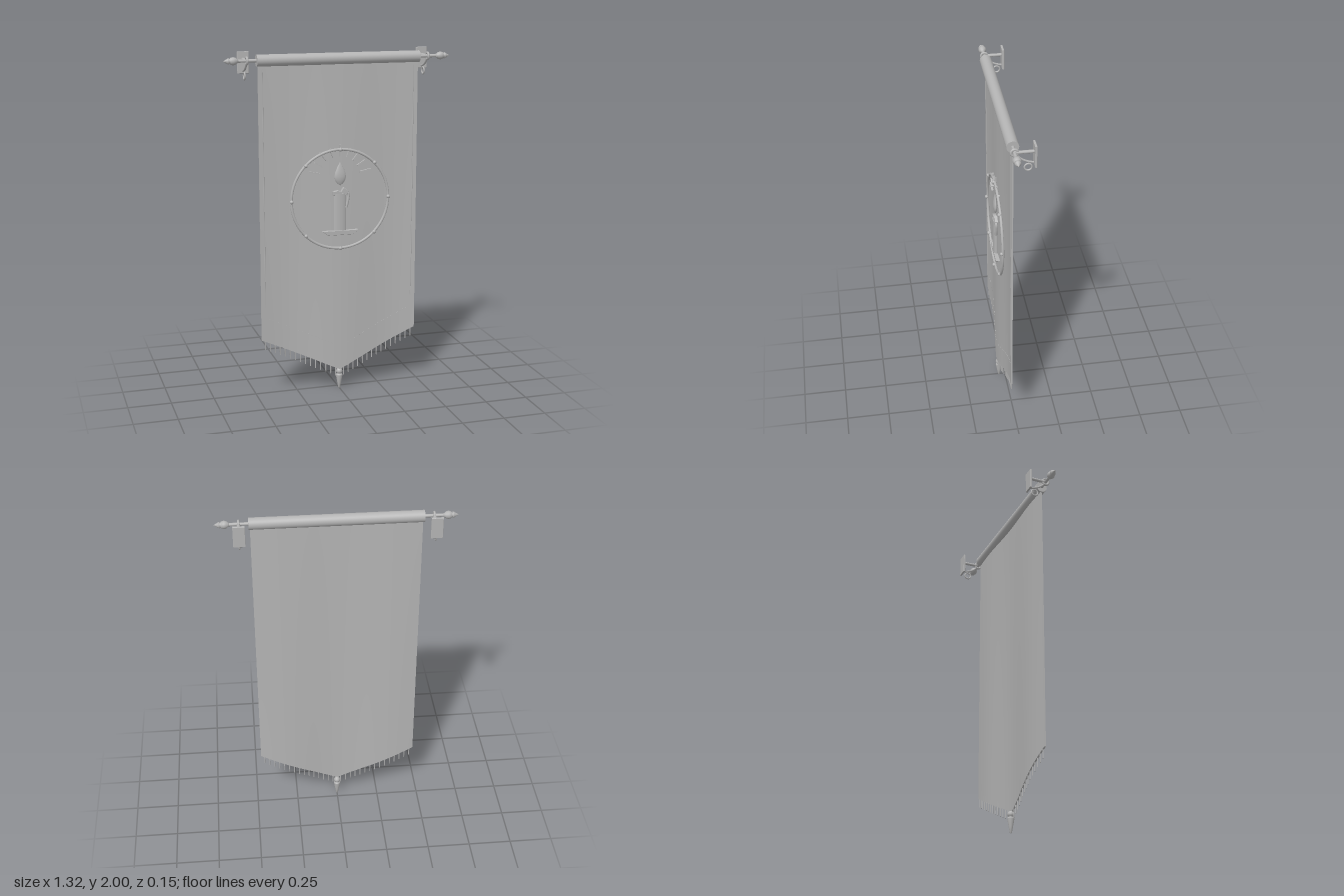
import * as THREE from 'three';

const grey = new THREE.MeshStandardMaterial({ color: 0xb4b4b4 });
grey.name = 'plain grey';

const POLE_Y = 1.957, POLE_Z = 0.034, HALF_W = 0.468, THICK = 0.01;
const hemY = (x) => 0.12 + 0.22 * Math.abs(x) / HALF_W;
// Soft vertical folds that deepen towards the hem
const foldZ = (x, y) => POLE_Z + (0.004 + 0.008 * (1 - y / 1.95)) * Math.cos(10 * x);

export function createModel() {
  const model = new THREE.Group();
  model.name = 'hangingBanner';

  const add = (name, geo, x = 0, y = 0, z = 0, parent = model) => {
    const mesh = new THREE.Mesh(geo, grey);
    mesh.name = name;
    mesh.position.set(x, y, z);
    parent.add(mesh);
    return mesh;
  };
  const lathe = (pts, seg = 20) =>
    new THREE.LatheGeometry(pts.map(([r, y]) => new THREE.Vector2(r, y)), seg);
  const shape = (pts) => new THREE.Shape(pts.map(([x, y]) => new THREE.Vector2(x, y)));
  const extrude = (s, depth) => new THREE.ExtrudeGeometry(s, {
    depth, bevelEnabled: true, bevelSize: 0.002, bevelThickness: 0.002, bevelSegments: 1 });

  // Cloth: a thin box with a pointed hem, bent into folds
  const cloth = new THREE.BoxGeometry(HALF_W * 2, 1, THICK, 64, 24, 1);
  const p = cloth.attributes.position;
  for (let i = 0; i < p.count; i++) {
    const x = p.getX(i), t = p.getY(i) + 0.5;
    const y = THREE.MathUtils.lerp(hemY(x), 1.94, t);
    p.setXYZ(i, x, y, foldZ(x, y) + p.getZ(i));
  }
  cloth.computeVertexNormals();
  add('cloth', cloth);

  // Rod and the rolled sleeve around it
  add('rod', new THREE.CylinderGeometry(0.009, 0.009, 1.2, 16), 0, POLE_Y, POLE_Z).rotation.z = Math.PI / 2;
  add('sleeve', new THREE.CylinderGeometry(0.033, 0.033, 0.95, 32), 0, POLE_Y, POLE_Z).rotation.z = Math.PI / 2;

  // Finials and wall brackets, one at each end
  const finial = lathe([[0, -0.03], [0.01, -0.028], [0.012, -0.022], [0.019, -0.014], [0.023, 0],
    [0.019, 0.014], [0.011, 0.021], [0.018, 0.024], [0.016, 0.03], [0, 0.056]]);
  const brace = new THREE.TubeGeometry(new THREE.QuadraticBezierCurve3(
    new THREE.Vector3(0, POLE_Y - 0.02, 0.02), new THREE.Vector3(0, 1.9, -0.01),
    new THREE.Vector3(0, 1.892, -0.07)), 12, 0.006, 8);
  const plateShape = new THREE.Shape();
  plateShape.moveTo(-0.031, -0.059).lineTo(0.031, -0.059).lineTo(0.031, 0.059).lineTo(-0.031, 0.059);
  for (const side of [-1, 1]) {
    add('finial', finial, side * 0.605, POLE_Y, POLE_Z).rotation.z = -side * Math.PI / 2;
    const bracket = new THREE.Group();
    bracket.name = 'wallBracket';
    bracket.position.x = side * 0.528;
    add('wallPlate', extrude(plateShape, 0.008), 0, 1.939, -0.075, bracket);
    add('arm', new THREE.CylinderGeometry(0.009, 0.009, 0.1, 12), 0, POLE_Y, -0.02, bracket).rotation.x = Math.PI / 2;
    add('rodCollar', new THREE.TorusGeometry(0.018, 0.007, 10, 24), 0, POLE_Y, POLE_Z, bracket).rotation.y = Math.PI / 2;
    add('brace', brace, 0, 0, 0, bracket);
    add('ring', new THREE.TorusGeometry(0.019, 0.005, 8, 24), 0, 1.867, -0.036, bracket).rotation.y = Math.PI / 2;
    model.add(bracket);
  }

  // Side piping and the stitched line above the hem
  for (const side of [-1, 1]) {
    const x = side * 0.443;
    const pts = [];
    for (let i = 0; i <= 10; i++) {
      const y = 0.54 + 1.37 * i / 10;
      pts.push(new THREE.Vector3(x, y, foldZ(x, y) + THICK / 2));
    }
    add('sidePiping', new THREE.TubeGeometry(new THREE.CatmullRomCurve3(pts), 20, 0.003, 6));
    for (let i = 0; i < 22; i++) {
      const sx = side * (0.01 + i * 0.0195), sy = hemY(sx) + 0.145;
      add('stitch', new THREE.BoxGeometry(0.009, 0.003, 0.003), sx, sy, foldZ(sx, sy) + THICK / 2)
        .rotation.z = side * 0.44;
    }
    // Fringe along the hem
    for (let i = 0; i < 15; i++) {
      const fx = side * (0.024 + i * 0.0302), fy = hemY(fx);
      add('fringe', new THREE.CylinderGeometry(0.0035, 0.003, 0.055, 6), fx, fy - 0.022, foldZ(fx, fy));
    }
  }

  // Pendant at the point of the hem
  add('pendant', lathe([[0, 0], [0.006, 0.001], [0.012, 0.035], [0.02, 0.08], [0.018, 0.087], [0.01, 0.09],
    [0.017, 0.096], [0.02, 0.106], [0.016, 0.118], [0.007, 0.125], [0, 0.127]]), 0, 0, POLE_Z + 0.003);

  // Round emblem frame with beads
  const emblem = new THREE.Group();
  emblem.name = 'emblem';
  model.add(emblem);
  add('emblemFrame', new THREE.TorusGeometry(0.289, 0.008, 10, 80), 0, 1.155, 0.056, emblem);
  for (let i = 0; i < 8; i++) {
    const a = i * Math.PI / 4;
    add('frameBead', new THREE.SphereGeometry(0.011, 12, 8),
      Math.cos(a) * 0.289, 1.155 + Math.sin(a) * 0.289, 0.062, emblem);
  }

  // Candle, drip, dish, flame
  add('candle', new THREE.CylinderGeometry(0.039, 0.039, 0.215, 24), -0.002, 1.08, 0.053, emblem).scale.z = 0.4;
  add('meltedRim', extrude(shape([[-0.04, 1.18], [0.036, 1.18], [0.046, 1.2], [0.034, 1.212], [0.02, 1.222],
    [0.005, 1.198], [-0.015, 1.205], [-0.04, 1.2]]), 0.016), 0, 0, 0.046, emblem);
  add('waxDrip', new THREE.TubeGeometry(new THREE.CatmullRomCurve3([
    new THREE.Vector3(0.03, 1.2, 0), new THREE.Vector3(0.049, 1.185, 0),
    new THREE.Vector3(0.047, 1.15, 0), new THREE.Vector3(0.036, 1.105, 0)]), 16, 0.008, 8), 0, 0, 0.056, emblem);
  add('dish', extrude(shape([[-0.105, 0.97], [-0.075, 0.947], [0.075, 0.947], [0.105, 0.97]]), 0.02),
    0, 0, 0.045, emblem);
  add('flame', lathe([[0, 1.235], [0.018, 1.247], [0.031, 1.268], [0.035, 1.288], [0.03, 1.312],
    [0.016, 1.345], [0, 1.372]], 24), 0, 0, 0.055, emblem).scale.z = 0.35;

  // Rays fanned around the flame
  for (let i = 0; i < 9; i++) {
    const a = THREE.MathUtils.degToRad(12 + i * 19.5);
    const inner = 0.12, outer = i % 2 ? 0.175 : 0.188, mid = (inner + outer) / 2;
    add('ray', new THREE.BoxGeometry(outer - inner, 0.007, 0.012),
      Math.cos(a) * mid, 1.283 + Math.sin(a) * mid, 0.052, emblem).rotation.z = a;
  }
  return model;
}
